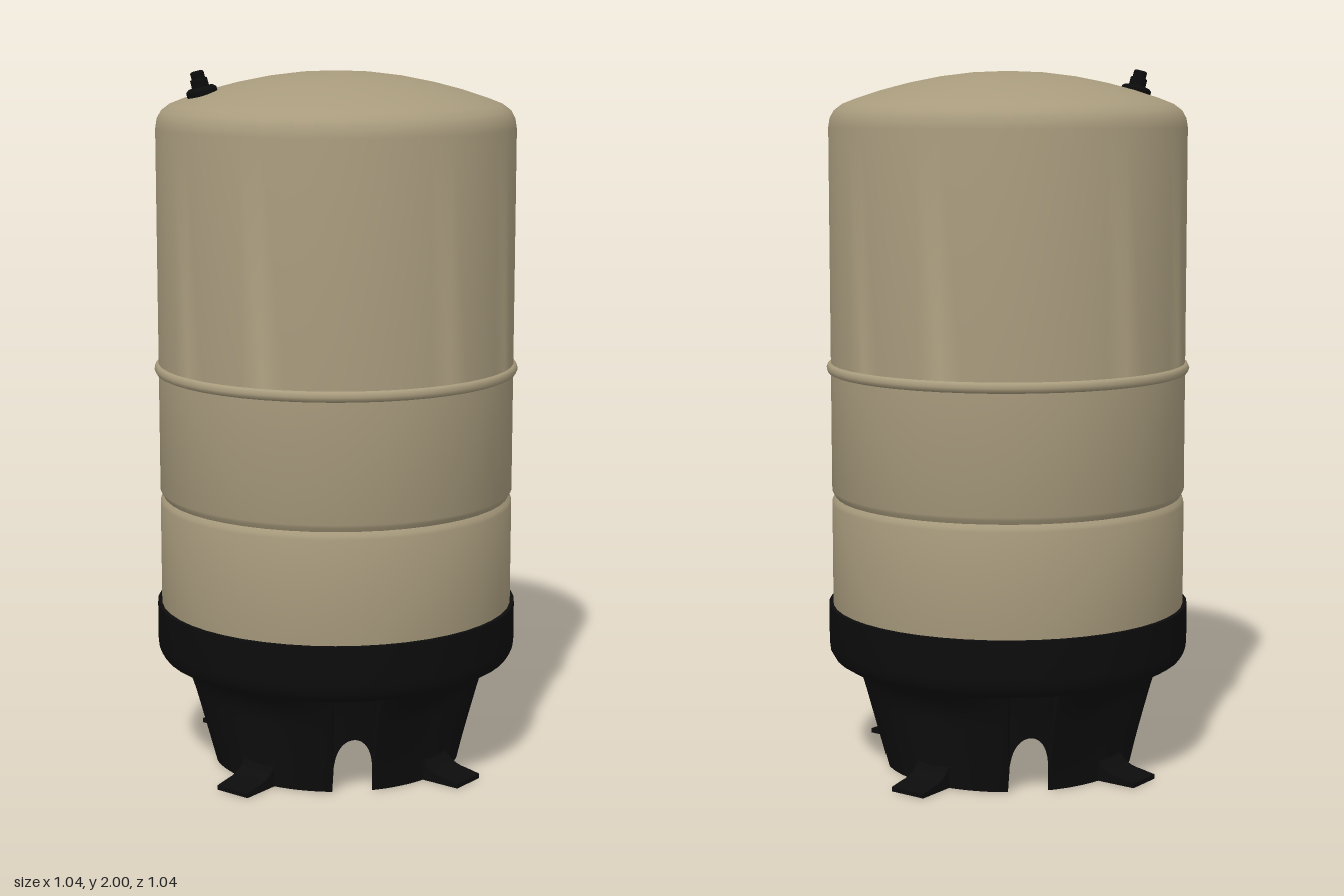
import * as THREE from 'three';
import { toCreasedNormals } from 'three/addons/utils/BufferGeometryUtils.js';

const SEG = 48;
const beige = new THREE.MeshStandardMaterial({ color: 0xa89b7d });
const black = new THREE.MeshStandardMaterial({ color: 0x0c0c0c, side: THREE.DoubleSide });
const steel = new THREE.MeshStandardMaterial({ color: 0x8a8aa0 });

function add(parent, name, geometry, material) {
  const mesh = new THREE.Mesh(geometry, material);
  mesh.name = name;
  parent.add(mesh);
  return mesh;
}

function lathe(points, crease = 0.6) {
  const profile = points.map(([r, y]) => new THREE.Vector2(r, y));
  return toCreasedNormals(new THREE.LatheGeometry(profile, SEG), crease);
}

// Skirt radius: upright towards the feet, flaring between them, grooved above each notch
function skirtRadius(angle, y) {
  const w = Math.sin(2 * angle) ** 2;
  const t = Math.max(0, (y - 0.2) / 0.1);
  const toDiagonal = (angle % (Math.PI / 2)) - Math.PI / 4;
  const groove = Math.abs(toDiagonal) < 0.15 ? 0.06 * y : 0;
  return 0.36 + (1 - w) * 0.07 * t * t + w * 0.3 * y - groove;
}

// Skirt height at its lower edge: zero, or the arch of a notch on each diagonal
function skirtBottom(angle) {
  const s = 0.36 * Math.sin((angle % (Math.PI / 2)) - Math.PI / 4) / 0.055;
  return Math.abs(s) < 1 ? 0.165 * Math.cbrt(1 - s * s) : 0;
}

function skirtGeometry() {
  const cols = 480, rows = 12, position = [], index = [];
  for (let i = 0; i <= cols; i++) {
    const angle = ((i % cols) / cols) * Math.PI * 2;
    const y0 = skirtBottom(angle);
    for (let j = 0; j <= rows; j++) {
      const y = y0 + (0.303 - y0) * (j / rows);
      const r = skirtRadius(angle, y);
      position.push(r * Math.sin(angle), y, r * Math.cos(angle));
      if (i < cols && j < rows) {
        const a = i * (rows + 1) + j, b = a + rows + 1;
        index.push(a, b, b + 1, a, b + 1, a + 1);
      }
    }
  }
  const g = new THREE.BufferGeometry();
  g.setAttribute('position', new THREE.Float32BufferAttribute(position, 3));
  g.setIndex(index);
  g.computeVertexNormals();
  return toCreasedNormals(g, 0.6);
}

// Foot: a side profile extruded across its width
function footGeometry() {
  const width = 0.11;
  const s = new THREE.Shape();
  s.moveTo(0.34, 0);
  s.lineTo(0.475, 0);
  s.lineTo(0.475, 0.013);
  s.lineTo(0.43, 0.021);
  s.quadraticCurveTo(0.375, 0.025, 0.355, 0.065);
  s.lineTo(0.34, 0.065);
  const g = new THREE.ExtrudeGeometry(s, { depth: width, bevelEnabled: false, curveSegments: 6 });
  return g.translate(0, 0, -width / 2);
}

export function createModel() {
  const model = new THREE.Group();
  model.name = 'pressureTank';

  // Tank shell with domed ends, a pressed-in groove and a raised bead
  add(model, 'tankShell', lathe([
    [0, 0.28], [0.15, 0.285], [0.3, 0.3], [0.42, 0.325], [0.465, 0.345], [0.495, 0.38], [0.508, 0.43],
    [0.508, 0.765], [0.505, 0.775], [0.498, 0.785], [0.505, 0.797], [0.508, 0.805],
    [0.508, 1.14], [0.515, 1.143], [0.52, 1.155], [0.515, 1.167], [0.508, 1.17],
    [0.508, 1.835], [0.504, 1.86], [0.492, 1.882], [0.468, 1.9], [0.43, 1.915],
    [0.36, 1.938], [0.28, 1.959], [0.19, 1.977], [0.1, 1.988], [0, 1.992],
  ], 1.0), beige);

  // Base: cup around the tank, notched skirt and four feet
  const base = new THREE.Group();
  base.name = 'base';
  model.add(base);
  add(base, 'baseCup', lathe([
    [0.41, 0.303], [0.455, 0.3], [0.485, 0.304], [0.506, 0.317], [0.517, 0.336], [0.52, 0.36],
    [0.52, 0.47], [0.505, 0.47],
  ]), black);
  add(base, 'skirt', skirtGeometry(), black);
  const foot = footGeometry();
  for (let i = 0; i < 4; i++) {
    add(base, 'foot', foot, black).rotation.y = (i * Math.PI) / 2;
  }

  // Water connection under the tank
  add(model, 'outletCollar', lathe([[0, 0.26], [0.055, 0.26], [0.055, 0.3]]), beige);
  const pipe = add(model, 'outletPipe', lathe([
    [0.03, 0.27], [0.03, 0.2], [0.042, 0.2], [0.046, 0.204], [0.046, 0.225],
    [0.04, 0.228], [0.04, 0.245], [0.048, 0.245], [0.048, 0.265],
  ]), steel);
  pipe.material.side = THREE.DoubleSide;

  // Air valve standing square to the dome
  const valve = new THREE.Group();
  valve.name = 'airValve';
  add(valve, 'valveBody', lathe([
    [0.043, -0.01], [0.043, 0.004], [0.036, 0.01], [0.024, 0.013], [0.024, 0.034],
    [0.019, 0.036], [0.019, 0.052], [0.016, 0.056], [0, 0.056],
  ]), black);
  valve.position.set(-0.302, 1.939, -0.236);
  valve.quaternion.setFromUnitVectors(
    new THREE.Vector3(0, 1, 0), new THREE.Vector3(-0.2, 1, -0.156).normalize());
  model.add(valve);

  return model;
}
